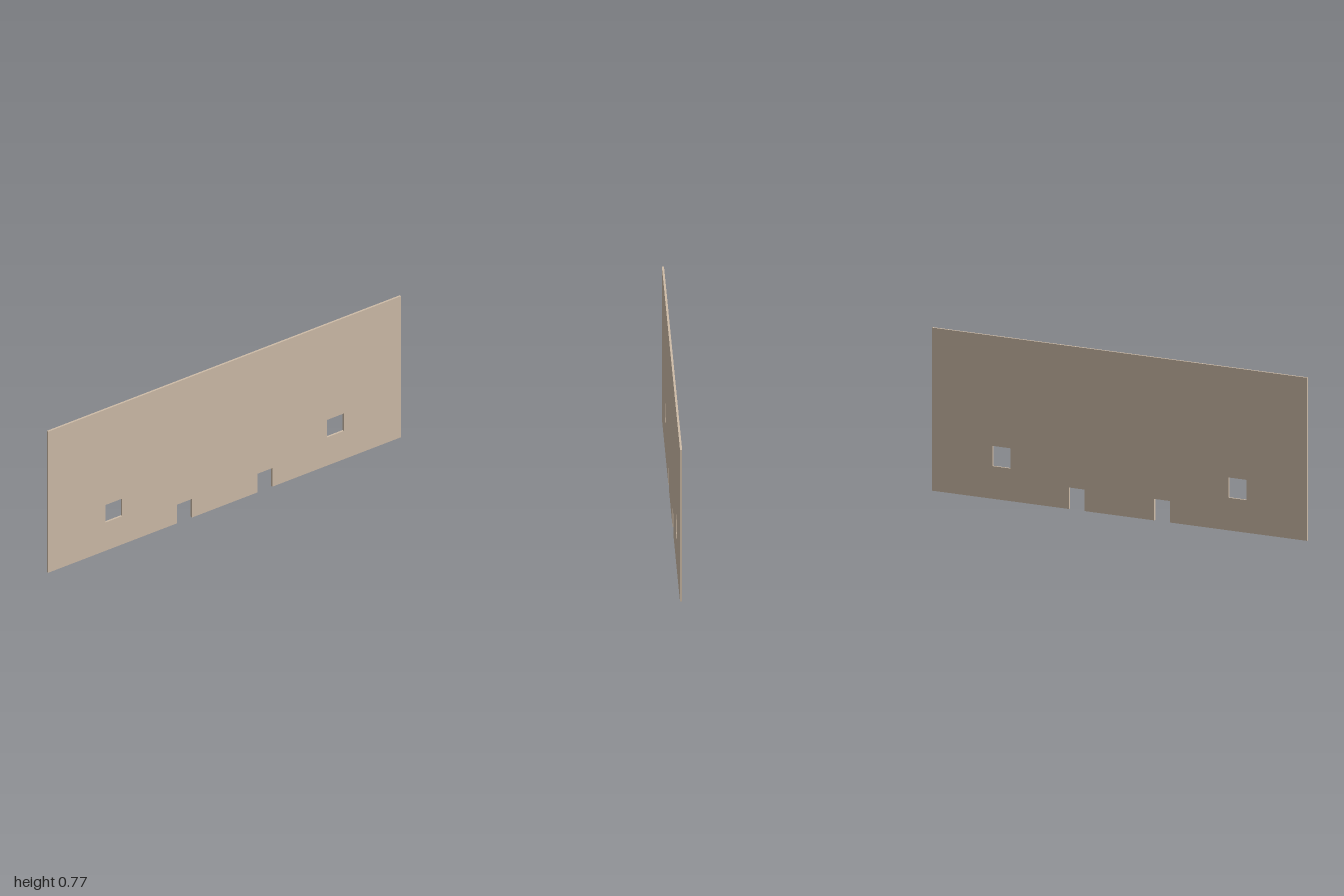
import * as THREE from 'three';

const WIDTH = 2, HEIGHT = 0.774, DEPTH = 0.01;
const DOOR = { inner: 0.185, outer: 0.27, top: 0.102 };
const WINDOW = { x: 0.628, y: 0.203, size: 0.096 };

export function createModel() {
  const group = new THREE.Group();
  group.name = 'facade';

  // Wall outline with two door notches in the bottom edge
  const w = WIDTH / 2;
  const outline = [[-w, 0]];
  for (const [a, b] of [[-DOOR.outer, -DOOR.inner], [DOOR.inner, DOOR.outer]]) {
    outline.push([a, 0], [a, DOOR.top], [b, DOOR.top], [b, 0]);
  }
  outline.push([w, 0], [w, HEIGHT], [-w, HEIGHT]);
  const shape = new THREE.Shape(outline.map(([x, y]) => new THREE.Vector2(x, y)));

  // Square window openings, mirrored left and right
  const h = WINDOW.size / 2;
  for (const side of [-1, 1]) {
    const x = side * WINDOW.x, y = WINDOW.y;
    shape.holes.push(new THREE.Path([
      new THREE.Vector2(x - h, y - h), new THREE.Vector2(x - h, y + h),
      new THREE.Vector2(x + h, y + h), new THREE.Vector2(x + h, y - h),
    ]));
  }

  // Thin wall panel
  const geometry = new THREE.ExtrudeGeometry(shape, { depth: DEPTH, bevelEnabled: false });
  geometry.translate(0, 0, -DEPTH / 2);
  const wall = new THREE.Mesh(geometry, new THREE.MeshStandardMaterial({ color: 0xcdbba7 }));
  wall.name = 'wall';
  group.add(wall);
  return group;
}
